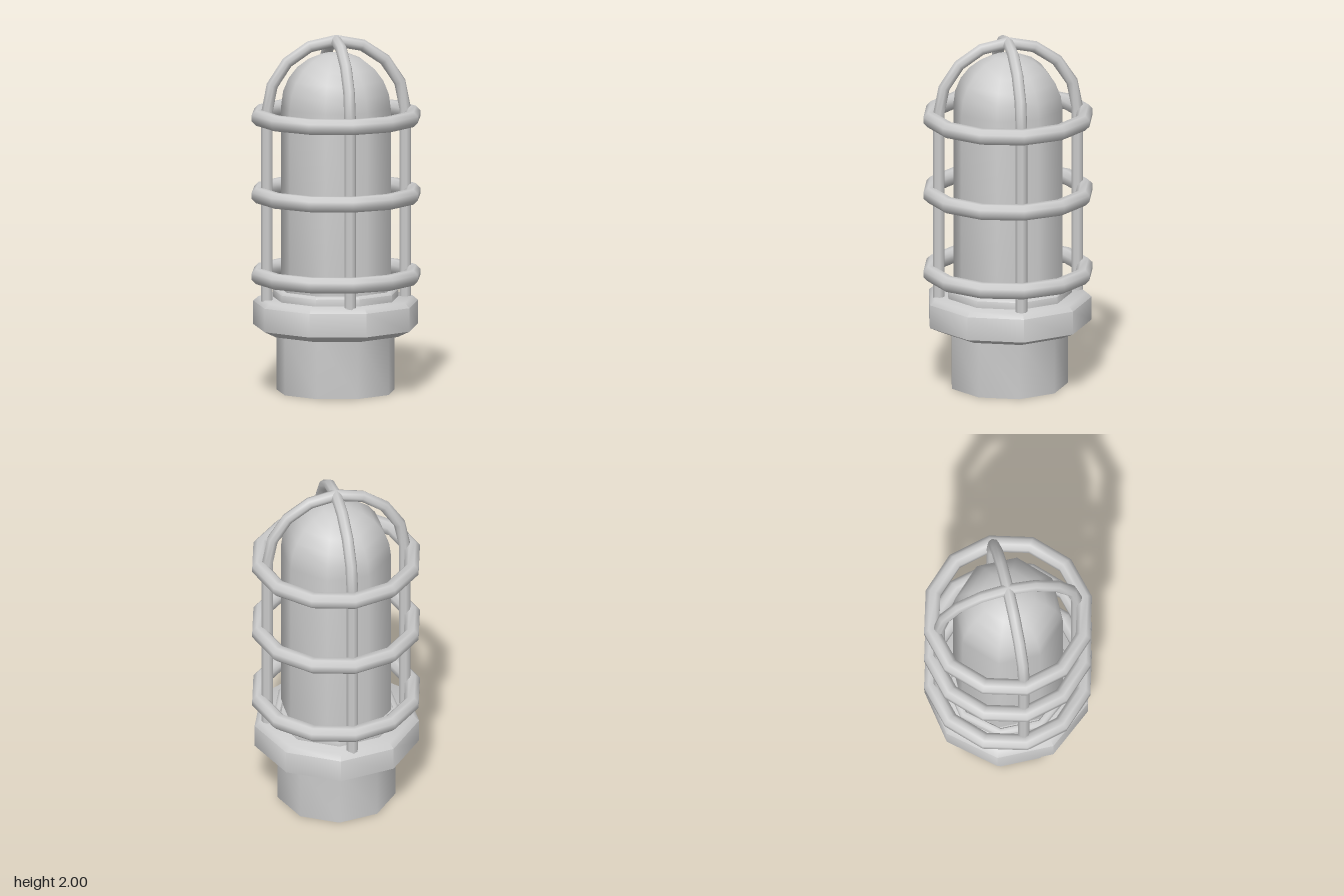
import * as THREE from 'three';
import { toCreasedNormals } from 'three/addons/utils/BufferGeometryUtils.js';

const material = new THREE.MeshStandardMaterial({ color: 0xcccccc, side: THREE.DoubleSide });

// Turned part: profile of [radius, height] pairs, first corner at angle start from +z
function turned(name, profile, sides, start) {
  const points = profile.map(([r, y]) => new THREE.Vector2(r, y));
  const lathe = new THREE.LatheGeometry(points, sides, start);
  const mesh = new THREE.Mesh(toCreasedNormals(lathe, 0.9), material);
  mesh.name = name;
  return mesh;
}

// Cage bar path: up one side, over a half circle in eight steps, down the other side
const BAR_R = 0.392, FOOT = 0.515, SPRING = 1.575;
class ArchPath extends THREE.Curve {
  getPoint(u, target = new THREE.Vector3()) {
    const k = u * 10;
    if (k < 1) return target.set(-BAR_R, FOOT + (SPRING - FOOT) * k, 0);
    if (k > 9) return target.set(BAR_R, FOOT + (SPRING - FOOT) * (10 - k), 0);
    const a = Math.PI * (1 - (k - 1) / 8);
    return target.set(BAR_R * Math.cos(a), SPRING + BAR_R * Math.sin(a), 0);
  }
  getPointAt(u, target) {
    return this.getPoint(u, target);
  }
  getTangentAt(u, target = new THREE.Vector3()) {
    const a = Math.PI * (1 - THREE.MathUtils.clamp((u * 10 - 1) / 8, 0, 1));
    return target.set(Math.sin(a), -Math.cos(a), 0);
  }
}

export function createModel() {
  const group = new THREE.Group();

  // Nine-sided foot, collar and lamp seat
  const nine = Math.PI / 2;
  group.add(turned('base', [[0, 0], [0.333, 0], [0.333, 0.345]], 9, nine));
  group.add(turned('collar', [
    [0, 0.33], [0.39, 0.33], [0.465, 0.365], [0.465, 0.497], [0.435, 0.523], [0, 0.523],
  ], 9, nine));
  group.add(turned('lampSeat', [
    [0.355, 0.52], [0.355, 0.562], [0.34, 0.575], [0.32, 0.575], [0.312, 0.565], [0, 0.565],
  ], 9, nine));

  // Eight-sided glass with a rounded top
  const glass = [[0.31, 0.53]];
  for (let i = 0; i <= 6; i++) {
    const a = (i / 6) * Math.PI / 2;
    glass.push([i === 6 ? 0 : 0.31 * Math.cos(a), 1.595 + 0.308 * Math.sin(a)]);
  }
  group.add(turned('glass', glass, 8, Math.PI / 8));

  // Three twelve-sided guard rings with an octagonal section
  for (const y of [0.655, 1.11, 1.545]) {
    const section = [];
    for (let i = 0; i <= 8; i++) {
      const a = (i - 0.5) * Math.PI / 4;
      section.push([0.436 + 0.046 * Math.cos(a), y + 0.046 * Math.sin(a)]);
    }
    group.add(turned('guardRing', section, 12, 0));
  }

  // Two crossing arched bars
  const archGeometry = new THREE.TubeGeometry(new ArchPath(), 10, 0.033, 8, false);
  for (const turn of [0, Math.PI / 2]) {
    const bar = new THREE.Mesh(archGeometry, material);
    bar.name = 'guardBar';
    bar.rotation.y = turn;
    group.add(bar);
  }
  return group;
}
